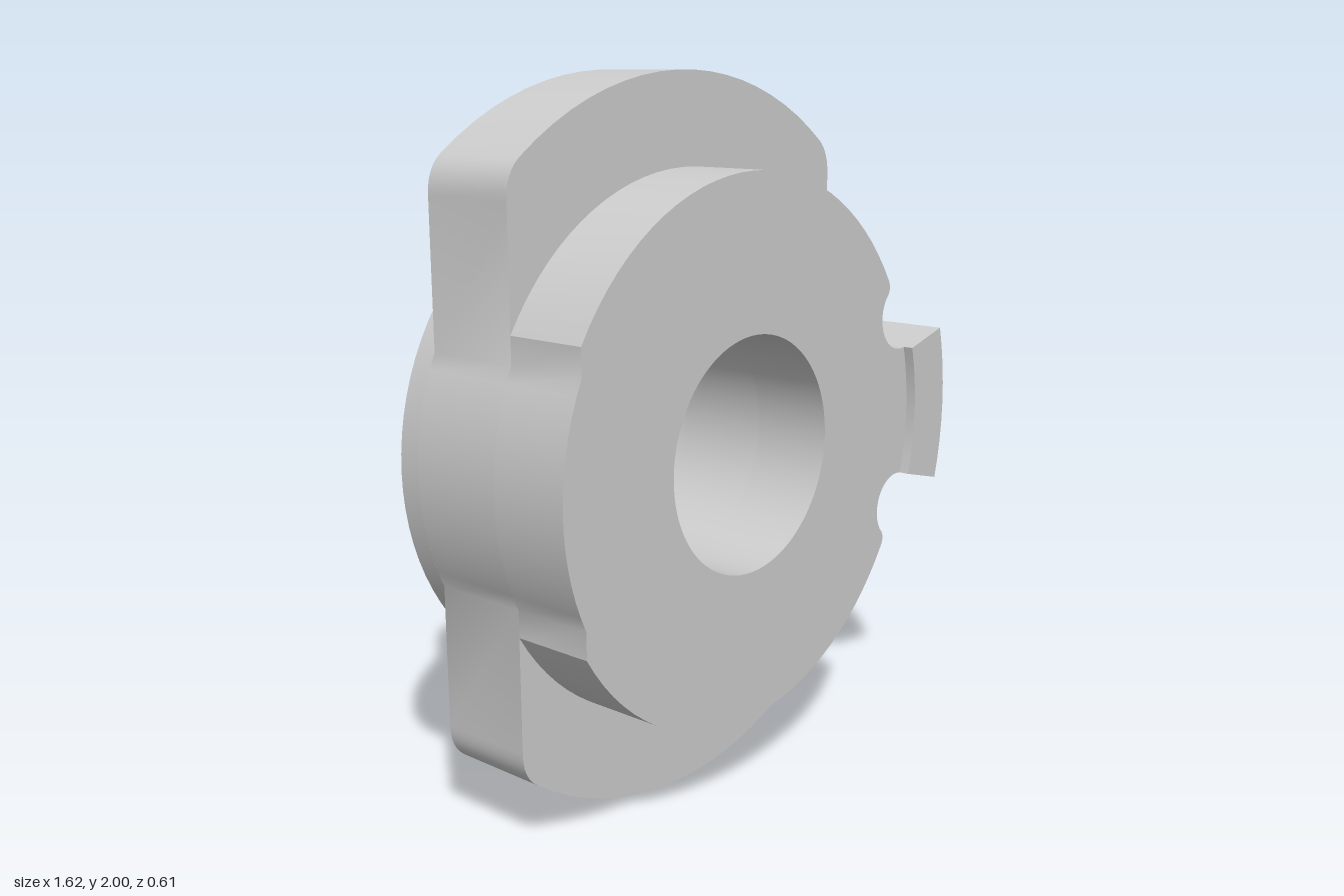
import * as THREE from 'three';
import { toCreasedNormals } from 'three/addons/utils/BufferGeometryUtils.js';

const CX = -0.1, CY = 1, BORE = 0.325;
const PI = Math.PI, LUG = PI / 12;
const material = new THREE.MeshStandardMaterial({ color: 0xcccccc });

// Points along an arc, from angle a to angle b
function arc(cx, cy, r, a, b) {
  const n = Math.max(4, Math.ceil(Math.abs(b - a) / 0.07));
  return Array.from({ length: n + 1 }, (_, i) => {
    const t = a + (b - a) * i / n;
    return new THREE.Vector2(cx + r * Math.cos(t), cy + r * Math.sin(t));
  });
}

// Rounded corner from (ax, ay) to (bx, by), pulled towards (cx, cy)
function corner(ax, ay, cx, cy, bx, by) {
  return new THREE.QuadraticBezierCurve(
    new THREE.Vector2(ax, ay), new THREE.Vector2(cx, cy), new THREE.Vector2(bx, by)).getPoints(6);
}

// Closes an upper half outline by mirroring it, dropping repeated points
function mirrored(half) {
  const all = [...half, ...half.slice().reverse().map(p => new THREE.Vector2(p.x, -p.y))];
  return all.filter((p, i) => p.distanceTo(all[(i + 1) % all.length]) > 1e-4);
}

function plate(name, outline, z0, z1, bored = true) {
  const shape = new THREE.Shape(outline);
  if (bored) shape.holes.push(new THREE.Path(arc(0, 0, BORE, 2 * PI, 0).slice(0, -1)));
  const geo = new THREE.ExtrudeGeometry(shape, { depth: z1 - z0, bevelEnabled: false });
  geo.translate(CX, CY, z0);
  const mesh = new THREE.Mesh(toCreasedNormals(geo, 0.45), material);
  mesh.name = name;
  return mesh;
}

export function createModel() {
  const group = new THREE.Group();
  group.name = 'flangedHub';

  // Bulge on the flat side, shared by flange and front boss
  const bulge = arc(0, 0, 0.715, PI - Math.asin(0.3086 / 0.715), PI);

  // Flange: round plate with two flats and a notched ear
  const flange = mirrored([
    ...arc(0, 0, 0.91, 0, 0.4306),
    ...corner(0.827, 0.38, 0.81, 0.425, 0.757, 0.44),
    ...arc(0.815, 0.6, 0.17, PI * 250 / 180, PI),
    ...corner(0.645, 0.7, 0.645, 0.766, 0.6, 0.8),
    ...arc(0, 0, 1, 0.9273, PI - 0.9273),
    ...corner(-0.6, 0.8, -0.645, 0.766, -0.645, 0.7),
    ...bulge,
  ]);
  group.add(plate('flange', flange, -0.24, 0.04));

  // Front boss with a round groove on each side of the lug
  const c = Math.cos(LUG), s = Math.sin(LUG);
  const boss = mirrored([
    ...arc(0, 0, 0.75, 0, LUG),
    ...arc(0.756 * c - 0.1 * s, 0.756 * s + 0.1 * c, 0.1, LUG - PI / 2 + 2 * PI, PI * 145 / 180),
    ...corner(0.624, 0.352, 0.65, 0.375, 0.632, 0.404),
    ...arc(0, 0, 0.75, 0.569, PI - 0.5355),
    ...bulge,
  ]);
  group.add(plate('frontBoss', boss, 0.04, 0.275));

  // Raised driving lug
  const lug = [...arc(0, 0, 0.91, -LUG, LUG), ...arc(0, 0, 0.75, LUG, -LUG)];
  group.add(plate('drivingLug', lug, 0.04, 0.305, false));

  // Low round boss on the back
  group.add(plate('backBoss', arc(0, 0, 0.715, 0, 2 * PI).slice(0, -1), -0.305, -0.24));

  return group;
}
